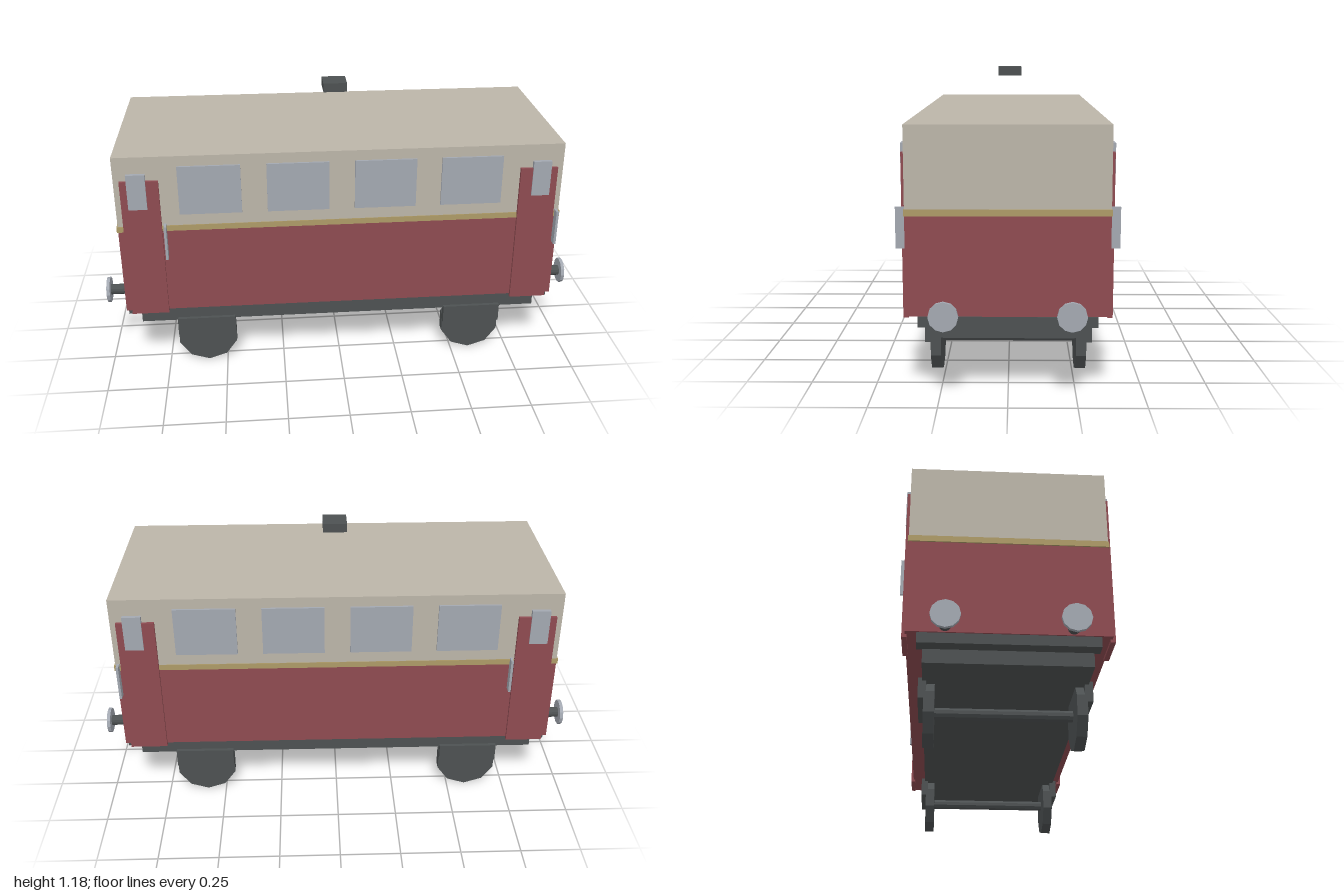
import * as THREE from 'three';

const mat = (name, color) => {
  const m = new THREE.MeshStandardMaterial({ color });
  m.name = name;
  return m;
};

export function createModel() {
  const red = mat('carriage red', 0x8e4b51);
  const cream = mat('cream', 0xbbb5a8);
  const gold = mat('gold', 0xad9a67);
  const grey = mat('light grey', 0xa3a8b1);
  const dark = mat('dark grey', 0x4d5152);
  dark.flatShading = grey.flatShading = true;

  const model = new THREE.Group();
  model.name = 'railwayCarriage';

  const add = (name, geometry, material) => {
    const mesh = new THREE.Mesh(geometry, material);
    mesh.name = name;
    model.add(mesh);
    return mesh;
  };
  // Box given by its limits on each axis
  const box = (name, material, [x0, x1], [y0, y1], [z0, z1]) =>
    add(name, new THREE.BoxGeometry(x1 - x0, y1 - y0, z1 - z0), material)
      .position.set((x0 + x1) / 2, (y0 + y1) / 2, (z0 + z1) / 2);
  // Cylinder lying along the x or z axis
  const rod = (name, material, axis, radius, length, sides, x, y, z) => {
    const g = new THREE.CylinderGeometry(radius, radius, length, sides);
    if (axis === 'x') g.rotateZ(Math.PI / 2);
    else g.rotateX(Math.PI / 2);
    add(name, g, material).position.set(x, y, z);
  };
  // Limits mirrored to one side of the model
  const span = (s, a, b) => (s > 0 ? [a, b] : [-b, -a]);

  // Body shell
  box('lowerBody', red, [-0.907, 0.907], [0.308, 0.676], [-0.367, 0.367]);
  box('beltStripe', gold, [-0.912, 0.912], [0.676, 0.7], [-0.37, 0.37]);
  box('upperBody', cream, [-0.907, 0.907], [0.7, 1.0], [-0.367, 0.367]);
  box('roofBlock', dark, [-0.05, 0.05], [1.138, 1.176], [-0.05, 0.05]);

  // Underframe
  box('chassis', dark, [-0.855, 0.855], [0.212, 0.3], [-0.305, 0.305]);

  for (const s of [-1, 1]) {
    // Side windows
    for (const x of [-0.53, -0.177, 0.177, 0.53]) {
      box('sideWindow', grey, [x - 0.125, x + 0.125], [0.75, 0.957], span(s, 0.366, 0.376));
    }
    // Doors with window and grab handle
    for (const e of [-1, 1]) {
      box('door', red, span(e, 0.73, 0.883), [0.297, 0.9], span(s, 0.36, 0.379));
      box('doorWindow', grey, span(e, 0.78, 0.855), [0.78, 0.93], span(s, 0.366, 0.383));
      const hx = e > 0 ? 0.895 : -0.717;
      box('doorHandle', grey, [hx - 0.005, hx + 0.005], [0.558, 0.708], span(s, 0.366, 0.4));
    }
    // End beam and axle
    box('endBeam', dark, span(s, 0.85, 0.905), [0.266, 0.306], [-0.326, 0.326]);
    rod('axle', dark, 'z', 0.022, 0.52, 10, s * 0.58, 0.134, 0);

    for (const t of [-1, 1]) {
      // Buffers
      rod('bufferShaft', dark, 'x', 0.022, 0.09, 12, s * 0.945, 0.333, t * 0.227);
      rod('bufferHead', grey, 'x', 0.054, 0.014, 12, s * 0.993, 0.333, t * 0.227);
      // Wheels and axle guards
      rod('wheel', dark, 'z', 0.131, 0.04, 10, s * 0.58, 0.131, t * 0.279);
      box('axleGuard', dark, span(s, 0.456, 0.704), [0.145, 0.224], span(t, 0.29, 0.32));
    }
  }
  return model;
}
